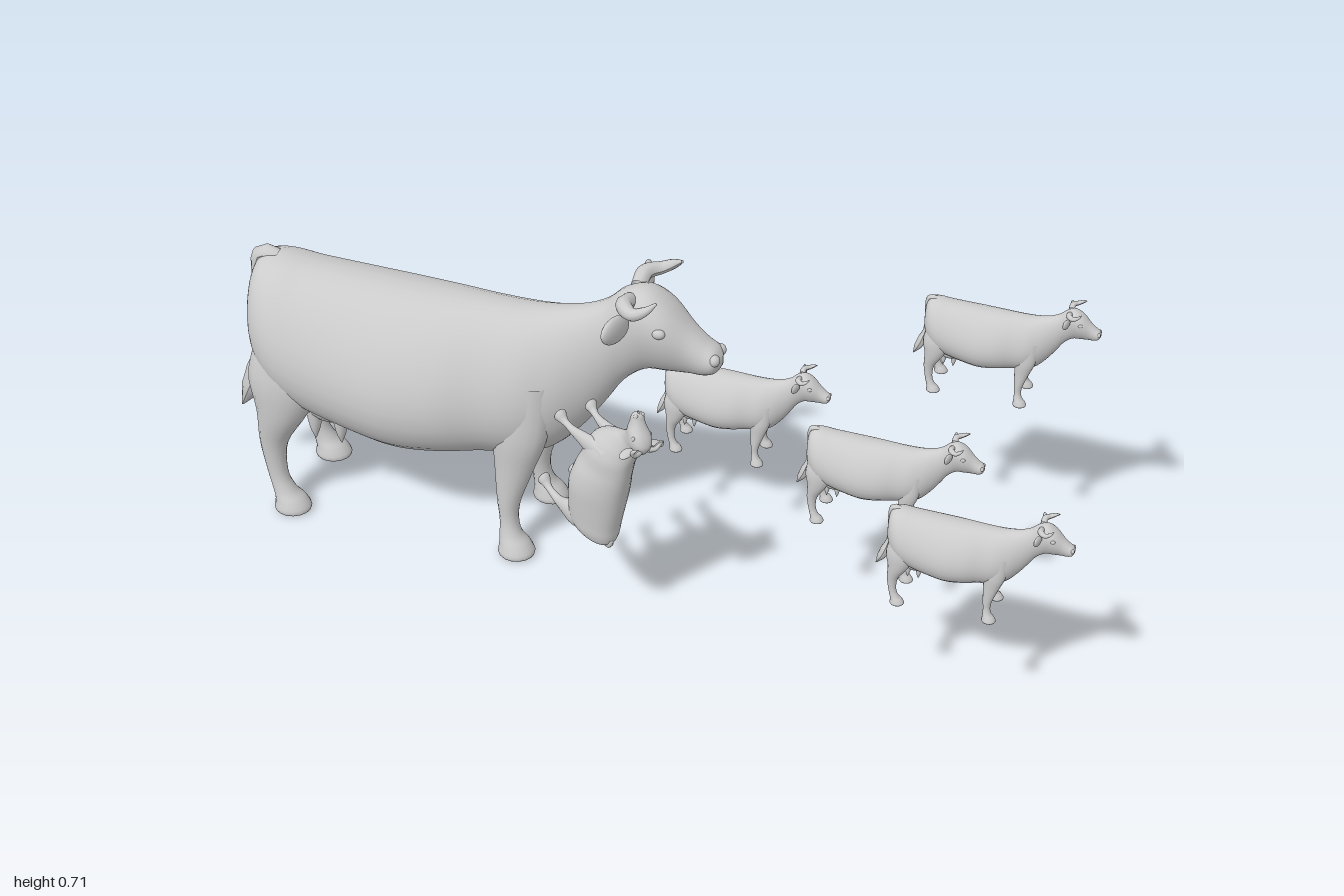
import * as THREE from 'three';

const material = new THREE.MeshStandardMaterial({ color: 0xcccccc, side: THREE.DoubleSide });
const V = (x, y, z) => new THREE.Vector3(x, y, z);

// Catmull-Rom blend of every column of the section rows
function sampleRows(rows, steps) {
  const at = (i) => rows[Math.min(Math.max(i, 0), rows.length - 1)];
  const out = [];
  for (let i = 0; i < rows.length - 1; i++) {
    for (let s = 0; s < steps; s++) {
      const t = s / steps;
      out.push(rows[i].map((p1, c) => {
        const p0 = at(i - 1)[c], p2 = at(i + 1)[c], p3 = at(i + 2)[c];
        return 0.5 * (2 * p1 + (p2 - p0) * t + (2 * p0 - 5 * p1 + 4 * p2 - p3) * t * t
          + (3 * p1 - p0 - 3 * p2 + p3) * t * t * t);
      }));
    }
  }
  out.push(rows[rows.length - 1]);
  return out;
}

// Skin over closed rings; ring(row, sin, cos) returns a point
function loft(rows, ring, sides, steps) {
  const sections = sampleRows(rows, steps), pos = [], idx = [];
  sections.forEach((row, i) => {
    for (let j = 0; j < sides; j++) {
      const a = (j / sides) * Math.PI * 2;
      pos.push(...ring(row, Math.sin(a), Math.cos(a)));
      if (i === sections.length - 1) continue;
      const k = i * sides + j, n = i * sides + (j + 1) % sides;
      idx.push(k, k + sides, n, n, k + sides, n + sides);
    }
  });
  const g = new THREE.BufferGeometry();
  g.setAttribute('position', new THREE.Float32BufferAttribute(pos, 3));
  g.setIndex(idx);
  g.computeVertexNormals();
  return g;
}

// Tube along points whose radius follows a list
function taperedTube(points, radii, segs = 18, sides = 10) {
  const curve = new THREE.CatmullRomCurve3(points);
  const g = new THREE.TubeGeometry(curve, segs, 1, sides, false);
  const p = g.attributes.position, v = V(0, 0, 0);
  for (let i = 0; i <= segs; i++) {
    const c = curve.getPointAt(i / segs);
    const f = (i / segs) * (radii.length - 1), a = Math.min(Math.floor(f), radii.length - 2);
    const r = THREE.MathUtils.lerp(radii[a], radii[a + 1], f - a);
    for (let j = 0; j <= sides; j++) {
      const k = i * (sides + 1) + j;
      v.fromBufferAttribute(p, k).sub(c).multiplyScalar(r).add(c);
      p.setXYZ(k, v.x, v.y, v.z);
    }
  }
  g.computeVertexNormals();
  return g;
}

// Body, neck and head: x, top, bottom, half width, narrowing toward the top
const bodyRows = [
  [-0.935, 0.53, 0.47, 0.005, 0], [-0.925, 0.585, 0.4, 0.07, 0.1], [-0.9, 0.615, 0.34, 0.115, 0.15],
  [-0.85, 0.62, 0.29, 0.148, 0.2], [-0.78, 0.612, 0.255, 0.162, 0.22], [-0.65, 0.605, 0.225, 0.178, 0.25],
  [-0.55, 0.6, 0.21, 0.184, 0.25], [-0.45, 0.597, 0.215, 0.172, 0.25], [-0.36, 0.595, 0.225, 0.147, 0.22],
  [-0.27, 0.595, 0.235, 0.133, 0.2], [-0.2, 0.605, 0.26, 0.105, 0.2], [-0.14, 0.62, 0.32, 0.075, 0.1],
  [-0.09, 0.645, 0.39, 0.058, 0], [-0.05, 0.68, 0.45, 0.055, -0.1], [0, 0.692, 0.49, 0.066, -0.2],
  [0.05, 0.665, 0.497, 0.066, -0.2], [0.1, 0.615, 0.5, 0.048, -0.1], [0.135, 0.585, 0.502, 0.042, 0],
  [0.16, 0.568, 0.512, 0.036, 0], [0.172, 0.55, 0.53, 0.005, 0],
];
// Legs: x, y, z, x radius, z radius
const hindLegRows = [
  [-0.81, 0.5, 0.07, 0.07, 0.05], [-0.825, 0.37, 0.095, 0.095, 0.058], [-0.84, 0.27, 0.11, 0.062, 0.043],
  [-0.868, 0.18, 0.11, 0.034, 0.028], [-0.865, 0.1, 0.112, 0.024, 0.022], [-0.85, 0.055, 0.115, 0.027, 0.026],
  [-0.835, 0.03, 0.116, 0.036, 0.036], [-0.83, 0.004, 0.117, 0.042, 0.04], [-0.83, 0, 0.117, 0.001, 0.001],
];
const frontLegRows = [
  [-0.25, 0.45, 0.08, 0.06, 0.04], [-0.265, 0.32, 0.093, 0.064, 0.04], [-0.28, 0.23, 0.096, 0.047, 0.034],
  [-0.293, 0.14, 0.103, 0.028, 0.026], [-0.293, 0.09, 0.107, 0.022, 0.022], [-0.288, 0.055, 0.112, 0.026, 0.026],
  [-0.278, 0.03, 0.115, 0.036, 0.036], [-0.273, 0.004, 0.117, 0.041, 0.04], [-0.273, 0, 0.117, 0.001, 0.001],
];

const bodyRing = ([x, top, bot, w, k], s, c) =>
  [x, (top + bot) / 2 + s * (top - bot) / 2, Math.sign(c) * Math.abs(c) ** 0.9 * w * (1 - k * s)];
const legRing = (side) => ([x, y, z, rx, rz], s, c) => [x + rx * s, y, side * z + rz * c];

// Shared parts of one cow, facing +x and standing on y = 0
function cowParts() {
  const ball = new THREE.SphereGeometry(1, 20, 14);
  const blob = (x, y, z, rx, ry, rz, rot = [0, 0, 0]) =>
    ball.clone().applyMatrix4(new THREE.Matrix4().compose(V(x, y, z),
      new THREE.Quaternion().setFromEuler(new THREE.Euler(...rot)), V(rx, ry, rz)));
  const parts = [
    ['body', loft(bodyRows, bodyRing, 32, 4)],
    ['udder', blob(-0.75, 0.265, 0, 0.085, 0.062, 0.085)],
    ['tail', taperedTube([V(-0.87, 0.605, 0), V(-0.91, 0.612, 0), V(-0.925, 0.55, 0), V(-0.925, 0.44, 0),
      V(-0.928, 0.36, 0), V(-0.955, 0.27, 0.005), V(-0.995, 0.19, 0.01)],
    [0.02, 0.02, 0.015, 0.012, 0.012, 0.018, 0.03, 0.026, 0.002], 30)],
  ];
  for (const s of [1, -1]) {
    const side = s > 0 ? 'right' : 'left';
    parts.push(
      [`${side}FrontLeg`, loft(frontLegRows, legRing(s), 16, 4)],
      [`${side}HindLeg`, loft(hindLegRows, legRing(s), 16, 4)],
      // horn sweeps outward, then forward and up
      [`${side}Horn`, taperedTube([V(-0.03, 0.67, s * 0.03), V(-0.028, 0.682, s * 0.075),
        V(0, 0.682, s * 0.103), V(0.03, 0.697, s * 0.105), V(0.05, 0.712, s * 0.092)],
      [0.018, 0.019, 0.016, 0.012, 0.003])],
      [`${side}Ear`, blob(-0.035, 0.643, s * 0.113, 0.014, 0.031, 0.052, [-s * 0.2, -s * 0.25, 0])],
      [`${side}Eye`, blob(0.045, 0.618, s * 0.062, 0.015, 0.012, 0.011)],
      [`${side}Nostril`, blob(0.158, 0.55, s * 0.024, 0.014, 0.014, 0.014)]);
    for (const x of [-0.79, -0.725]) {
      parts.push([`${side}Teat`, taperedTube([V(x, 0.24, s * 0.045), V(x, 0.2, s * 0.05),
        V(x, 0.165, s * 0.052)], [0.022, 0.017, 0.011, 0.001], 10)]);
    }
  }
  return parts;
}

export function createModel() {
  const model = new THREE.Group();
  const parts = cowParts();
  const addCow = (name, x, y, z, scale) => {
    const cow = new THREE.Group();
    cow.name = name;
    for (const [part, geometry] of parts) {
      const mesh = new THREE.Mesh(geometry, material);
      mesh.name = part;
      cow.add(mesh);
    }
    cow.position.set(x, y, z);
    cow.scale.setScalar(scale);
    model.add(cow);
    return cow;
  };

  addCow('largeCow', 0, 0, -0.068, 1);
  const small = 0.343;
  [[0.885, 0.443, -0.281], [0.943, 0.266, 0.253], [0.713, 0.266, 0.03], [0.323, 0.215, -0.202]]
    .forEach(([x, y, z], i) => addCow(`smallCow${i + 1}`, x, y, z, small));

  // Tumbling cow, nose up
  const tumbling = addCow('tumblingCow', -0.067, 0.591, 0.16, small);
  const nose = V(0.24, 0.96, 0.08).normalize();
  const side = nose.clone().cross(V(0.78, -0.25, 0.57)).normalize();
  const up = side.clone().cross(nose);
  tumbling.quaternion.setFromRotationMatrix(new THREE.Matrix4().makeBasis(nose, up, side));
  return model;
}
